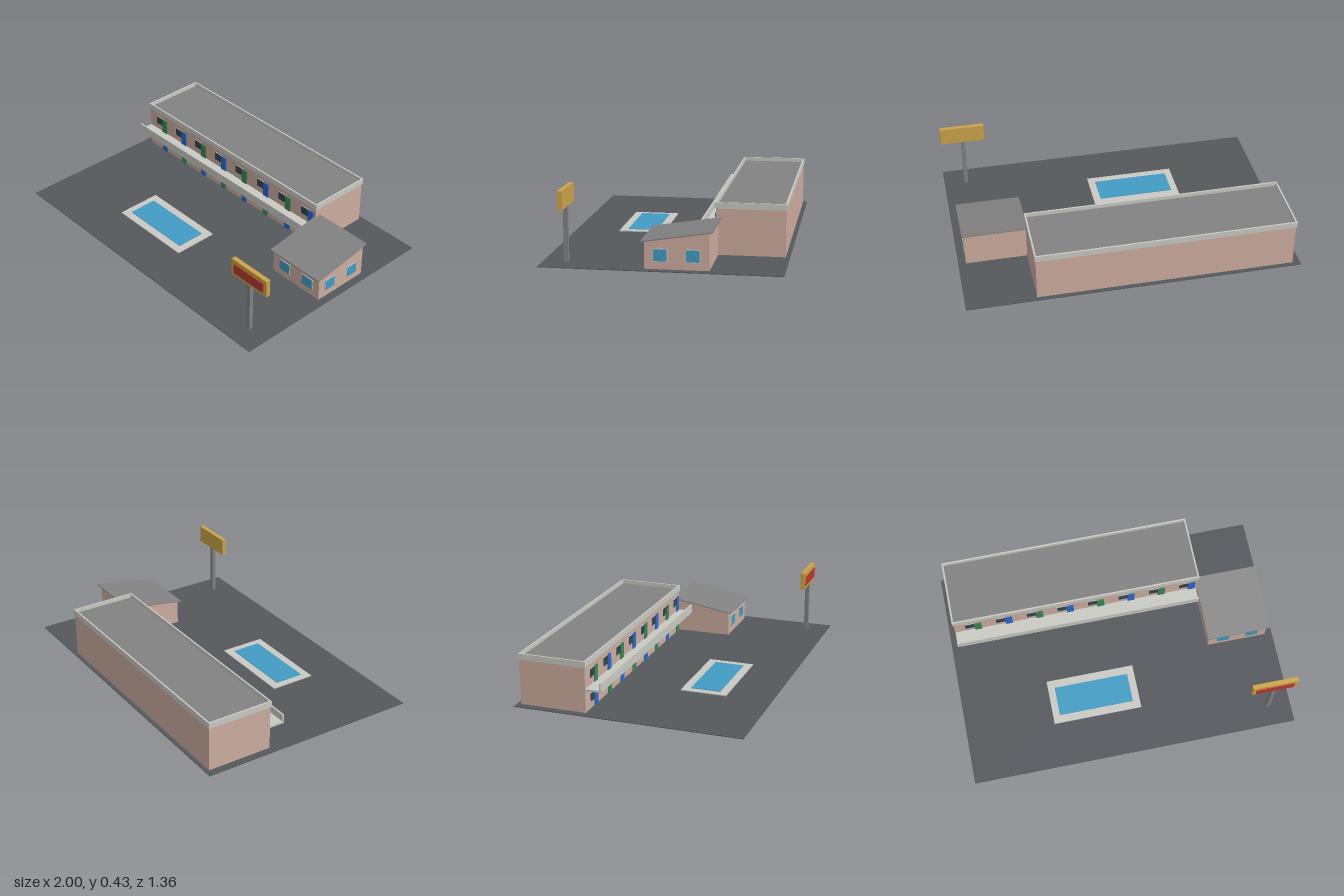
import * as THREE from 'three';

const mat = (name, color) => {
  const m = new THREE.MeshStandardMaterial({ color });
  m.name = name;
  return m;
};

export function createModel() {
  const asphalt = mat('asphalt', 0x54585c);
  const wall = mat('pinkStucco', 0xcdad9f);
  const concrete = mat('paleConcrete', 0xcacac4);
  const grey = mat('roofGrey', 0x828282);
  const blueGlass = mat('poolBlue', 0x429cc4);
  const darkGlass = mat('darkGlass', 0x34454f);
  const blue = mat('blueDoor', 0x2c68cc);
  const green = mat('greenDoor', 0x3c8854);
  const gold = mat('signGold', 0xcca448);
  const red = mat('signRed', 0xb63a30);

  const model = new THREE.Group();
  model.name = 'motel';

  const add = (name, geometry, material, parent = model) => {
    const mesh = new THREE.Mesh(geometry, material);
    mesh.name = name;
    parent.add(mesh);
    return mesh;
  };
  // Box given by its limits on each axis
  const box = (name, material, [x0, x1], [y0, y1], [z0, z1], parent) => {
    const mesh = add(name, new THREE.BoxGeometry(x1 - x0, y1 - y0, z1 - z0), material, parent);
    mesh.position.set((x0 + x1) / 2, (y0 + y1) / 2, (z0 + z1) / 2);
    return mesh;
  };
  // Framed window facing +z, centred on its own origin
  const framedWindow = (name, w, h, glass, parent) => {
    const g = new THREE.Group();
    g.name = name;
    const b = 0.004;
    box('windowFrame', concrete, [-w / 2, w / 2], [-h / 2, h / 2], [-0.002, 0.003], g);
    box('windowPane', glass, [-w / 2 + b, w / 2 - b], [-h / 2 + b, h / 2 - b], [0, 0.005], g);
    parent.add(g);
    return g;
  };

  // Parking lot
  box('parkingLot', asphalt, [-1, 1], [0, 0.004], [-0.68, 0.68]);

  // Two-storey room block with flat roof
  box('roomBlock', wall, [-0.955, 0.585], [0.003, 0.276], [-0.655, -0.255]);
  box('flatRoof', grey, [-0.95, 0.58], [0.274, 0.286], [-0.651, -0.259]);

  // Parapet ring around the roof
  const ring = new THREE.Shape();
  ring.moveTo(-0.96, 0.25).lineTo(0.59, 0.25).lineTo(0.59, 0.66).lineTo(-0.96, 0.66).closePath();
  const hole = new THREE.Path();
  hole.moveTo(-0.95, 0.26).lineTo(-0.95, 0.65).lineTo(0.58, 0.65).lineTo(0.58, 0.26).closePath();
  ring.holes.push(hole);
  const parapet = add('parapet', new THREE.ExtrudeGeometry(ring, { depth: 0.036, bevelEnabled: false }), concrete);
  parapet.rotation.x = -Math.PI / 2;
  parapet.position.y = 0.274;

  // Upper walkway and its solid railing
  box('walkwaySlab', concrete, [-0.955, 0.575], [0.135, 0.147], [-0.257, -0.16]);
  box('walkwayRailing', concrete, [-0.955, 0.575], [0.147, 0.19], [-0.17, -0.16]);

  // Rooms: a window and an alternately coloured door on each floor
  const front = -0.255;
  for (let floor = 0; floor < 2; floor++) {
    const y = floor ? 0.147 : 0.004;
    for (let i = 0; i < 8; i++) {
      const x = -0.89 + i * 0.1935;
      const top = y + 0.095;
      framedWindow('roomWindow', 0.068, 0.058, darkGlass, model).position.set(x + 0.032, top - 0.027, front);
      box('roomDoor', (i + floor) % 2 ? green : blue, [x + 0.06, x + 0.104], [y, top], [front - 0.002, front + 0.007]);
    }
  }

  // Office walls, with a sloping top edge
  const side = new THREE.Shape();
  side.moveTo(-0.09, 0.003).lineTo(0.27, 0.003).lineTo(0.27, 0.215).lineTo(-0.09, 0.157).closePath();
  const office = add('officeWalls', new THREE.ExtrudeGeometry(side, { depth: 0.369, bevelEnabled: false }), wall);
  office.rotation.y = Math.PI / 2;
  office.position.x = 0.585;

  // Sloping office roof
  const slope = new THREE.Shape();
  slope.moveTo(-0.11, 0.154).lineTo(0.29, 0.217).lineTo(0.29, 0.223).lineTo(-0.11, 0.16).closePath();
  const officeRoof = add('officeRoof', new THREE.ExtrudeGeometry(slope, { depth: 0.392, bevelEnabled: false }), grey);
  officeRoof.rotation.y = Math.PI / 2;
  officeRoof.position.x = 0.574;

  // Office windows on the front and the outer side
  for (const x of [0.678, 0.861]) {
    framedWindow('officeFrontWindow', 0.086, 0.074, blueGlass, model).position.set(x, 0.083, 0.09);
  }
  for (const z of [0.002, -0.18]) {
    const w = framedWindow('officeSideWindow', 0.082, 0.074, blueGlass, model);
    w.position.set(0.954, 0.083, z);
    w.rotation.y = Math.PI / 2;
  }

  // Swimming pool
  box('poolDeck', concrete, [-0.457, 0.09], [0.003, 0.01], [0.13, 0.408]);
  box('poolWater', blueGlass, [-0.415, 0.046], [0.006, 0.013], [0.18, 0.36]);

  // Roadside sign
  box('signPole', grey, [0.849, 0.874], [0.003, 0.33], [0.535, 0.56]);
  box('signBoard', gold, [0.725, 1], [0.323, 0.43], [0.533, 0.56]);
  box('signPanel', red, [0.747, 0.977], [0.342, 0.404], [0.558, 0.565]);

  return model;
}
